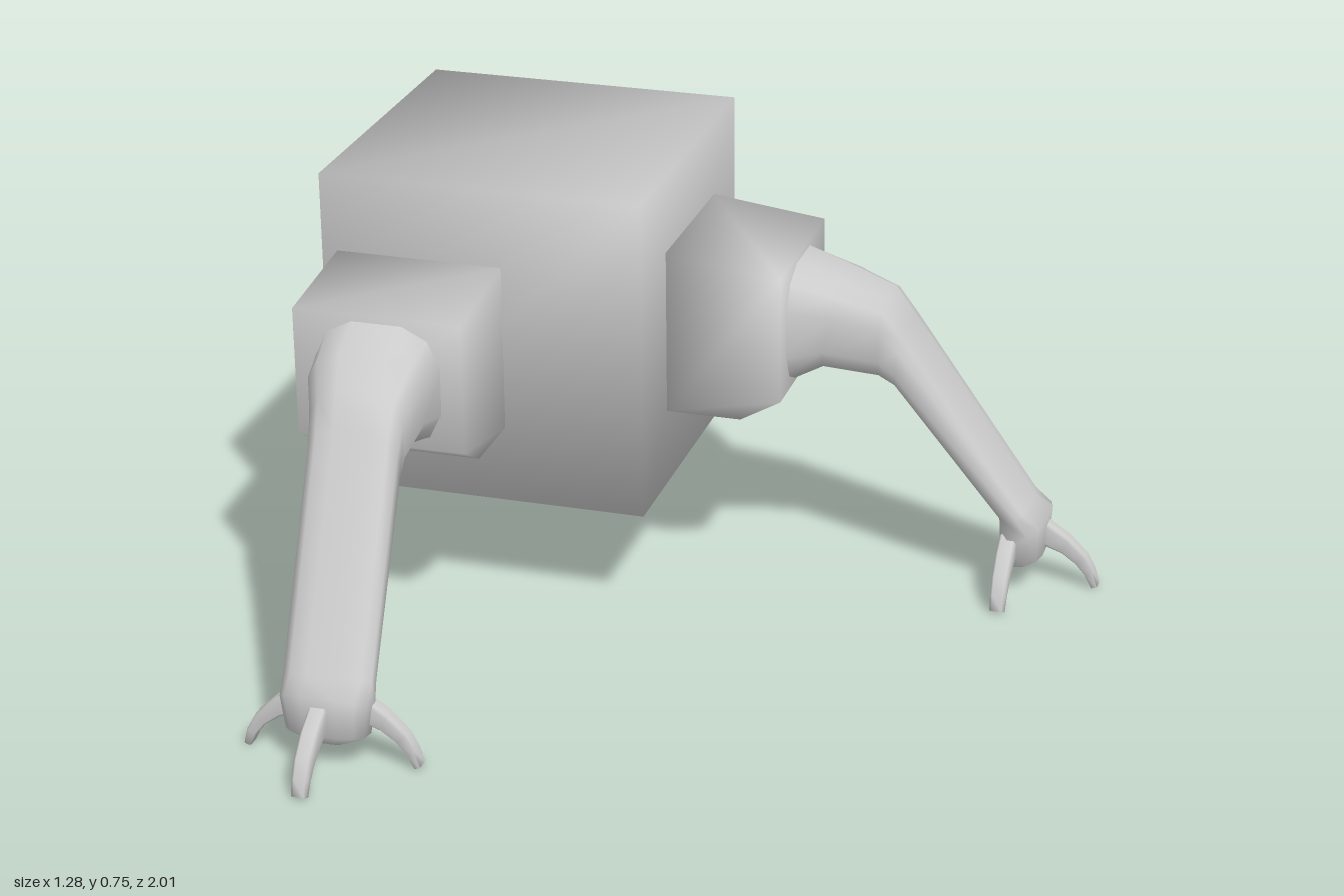
import * as THREE from 'three';
import { mergeVertices } from 'three/addons/utils/BufferGeometryUtils.js';

const material = new THREE.MeshStandardMaterial({ color: 0xcccccc, side: THREE.DoubleSide });

function part(name, geometry) {
  const mesh = new THREE.Mesh(geometry, material);
  mesh.name = name;
  return mesh;
}

// Share corners so the shading flows over the edges
function soften(geometry) {
  geometry.deleteAttribute('normal');
  geometry.deleteAttribute('uv');
  const merged = mergeVertices(geometry);
  merged.computeVertexNormals();
  return merged;
}

// Skin a row of rounded sections: [topX, topY, bottomX, bottomY, centreZ, halfWidth]
function loft(sections, sides, power) {
  const pos = [], index = [];
  const bend = v => Math.sign(v) * Math.pow(Math.abs(v), power);
  for (const [tx, ty, bx, by, z, w] of sections) {
    for (let j = 0; j < sides; j++) {
      const a = (j + 0.5) / sides * Math.PI * 2;
      const c = bend(Math.cos(a)), s = bend(Math.sin(a));
      pos.push((tx + bx) / 2 + c * (tx - bx) / 2, (ty + by) / 2 + c * (ty - by) / 2, z + s * w);
    }
  }
  for (let i = 0; i < sections.length - 1; i++) {
    for (let j = 0; j < sides; j++) {
      const a = i * sides + j, b = i * sides + (j + 1) % sides;
      index.push(a, b, a + sides, b, b + sides, a + sides);
    }
  }
  // Close the far end
  const last = (sections.length - 1) * sides;
  for (let j = 1; j < sides - 1; j++) index.push(last, last + j, last + j + 1);
  const geometry = new THREE.BufferGeometry();
  geometry.setAttribute('position', new THREE.Float32BufferAttribute(pos, 3));
  geometry.setIndex(index);
  geometry.computeVertexNormals();
  return geometry;
}

// One leg reaching along +x from its root on the body
function makeLeg(name) {
  const leg = new THREE.Group();
  leg.name = name;

  // Blocky shoulder with a chamfered underside
  const outline = [[0, 0.33], [0.13, 0.33], [0.2, 0.37], [0.2, 0.595], [0, 0.62]];
  const shape = new THREE.Shape(outline.map(p => new THREE.Vector2(...p)));
  const shoulder = new THREE.ExtrudeGeometry(shape, { depth: 0.29, bevelEnabled: false });
  shoulder.translate(0, 0, -0.145);
  leg.add(part('shoulder', soften(shoulder)));

  // Bent forearm ending in a rounded foot
  leg.add(part('forearm', loft([
    [0.19, 0.59, 0.18, 0.36, 0, 0.112],
    [0.28, 0.557, 0.25, 0.397, -0.005, 0.1],
    [0.35, 0.525, 0.345, 0.38, -0.02, 0.082],
    [0.385, 0.475, 0.37, 0.365, -0.025, 0.078],
    [0.6, 0.15, 0.55, 0.135, -0.05, 0.076],
    [0.633, 0.13, 0.55, 0.07, -0.05, 0.075],
    [0.628, 0.06, 0.555, 0.045, -0.05, 0.068],
    [0.6, 0.032, 0.575, 0.03, -0.05, 0.025],
  ], 12, 0.7)));

  // Three curved claws around the foot
  const clawSections = [
    [0.03, 0.12, 0.03, 0.075, 0, 0.016],
    [0.06, 0.113, 0.055, 0.07, 0, 0.016],
    [0.095, 0.09, 0.085, 0.06, 0, 0.016],
    [0.128, 0.058, 0.11, 0.042, 0, 0.015],
    [0.143, 0.03, 0.127, 0.022, 0, 0.014],
    [0.15, 0.004, 0.138, 0, 0, 0.013],
  ];
  ['leftClaw', 'middleClaw', 'rightClaw'].forEach((clawName, i) => {
    const claw = part(clawName, loft(clawSections, 8, 0.4));
    claw.position.set(0.573, 0, -0.05);
    claw.rotation.y = (1 - i) * Math.PI / 2;
    leg.add(claw);
  });
  return leg;
}

export function createModel() {
  const model = new THREE.Group();
  model.name = 'threeLeggedCreature';

  // Cube body
  const body = part('body', soften(new THREE.BoxGeometry(0.56, 0.56, 0.56)));
  body.position.set(-0.36, 0.475, 0);
  model.add(body);

  // Legs: name, x, z, turn about the vertical
  for (const [name, x, z, turn] of [
    ['sideLeg', -0.08, -0.005, 0],
    ['frontLeg', -0.468, 0.28, -Math.PI / 2],
    ['backLeg', -0.382, -0.28, Math.PI / 2],
  ]) {
    const leg = makeLeg(name);
    leg.position.set(x, 0, z);
    leg.rotation.y = turn;
    model.add(leg);
  }
  return model;
}
